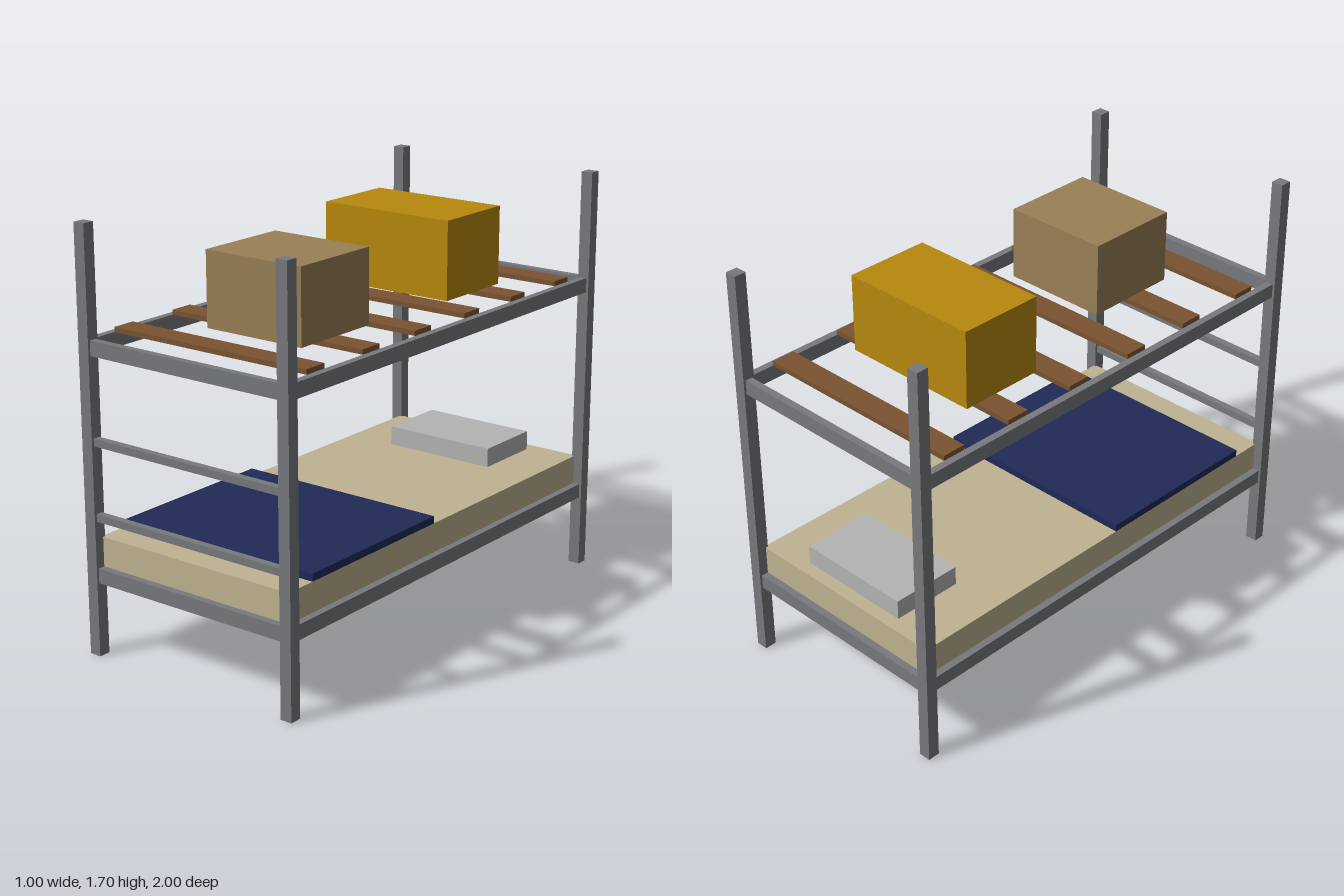
import * as THREE from 'three';

const mat = (name, color) => {
  const m = new THREE.MeshStandardMaterial({ color });
  m.name = name;
  return m;
};

export function createModel() {
  const steel = mat('greySteel', 0x78797d);
  const wood = mat('brownWood', 0x7a5432);
  const ticking = mat('beigeTicking', 0xbfb492);
  const navy = mat('navyWool', 0x1f2a56);
  const linen = mat('paleGreyLinen', 0xb4b4b4);
  const mustard = mat('mustard', 0xb8890d);
  const card = mat('tanCardboard', 0x9a8056);

  const model = new THREE.Group();
  model.name = 'bunkFrameWithStorage';

  // Box standing on height y, centred at x, z
  const box = (name, material, w, h, d, x, y, z, parent = model) => {
    const mesh = new THREE.Mesh(new THREE.BoxGeometry(w, h, d), material);
    mesh.name = name;
    mesh.position.set(x, y + h / 2, z);
    parent.add(mesh);
    return mesh;
  };

  // Frame: four posts, two levels of rails
  const frame = new THREE.Group();
  frame.name = 'frame';
  model.add(frame);
  for (const s of [-1, 1]) {
    for (const t of [-1, 1]) box('post', steel, 0.05, 1.7, 0.05, s * 0.475, 0, t * 0.975, frame);
    for (const y of [0.3, 1.2]) {
      box('sideRail', steel, 0.03, 0.06, 1.9, s * 0.475, y, 0, frame);
      box('endRail', steel, 0.9, 0.06, 0.03, 0, y, s * 0.975, frame);
    }
  }

  // Ladder rungs at the front end only
  for (const y of [0.55, 0.85]) box('rung', steel, 0.9, 0.03, 0.03, 0, y, 0.975, frame);

  // Slats across the upper level
  for (let i = 0; i < 6; i++) box('slat', wood, 0.92, 0.02, 0.1, 0, 1.26, -0.8 + i * 0.32);

  // Lower bed
  box('mattress', ticking, 0.92, 0.12, 1.92, 0, 0.36, 0);
  box('blanket', navy, 0.92, 0.03, 0.75, 0, 0.48, 0.45);
  box('pillow', linen, 0.5, 0.08, 0.3, 0, 0.48, -0.755);

  // Boxes stored on the slats
  box('yellowCrate', mustard, 0.6, 0.32, 0.36, 0, 1.28, -0.4);
  box('cardboardBox', card, 0.45, 0.3, 0.4, 0.05, 1.28, 0.45);

  return model;
}
